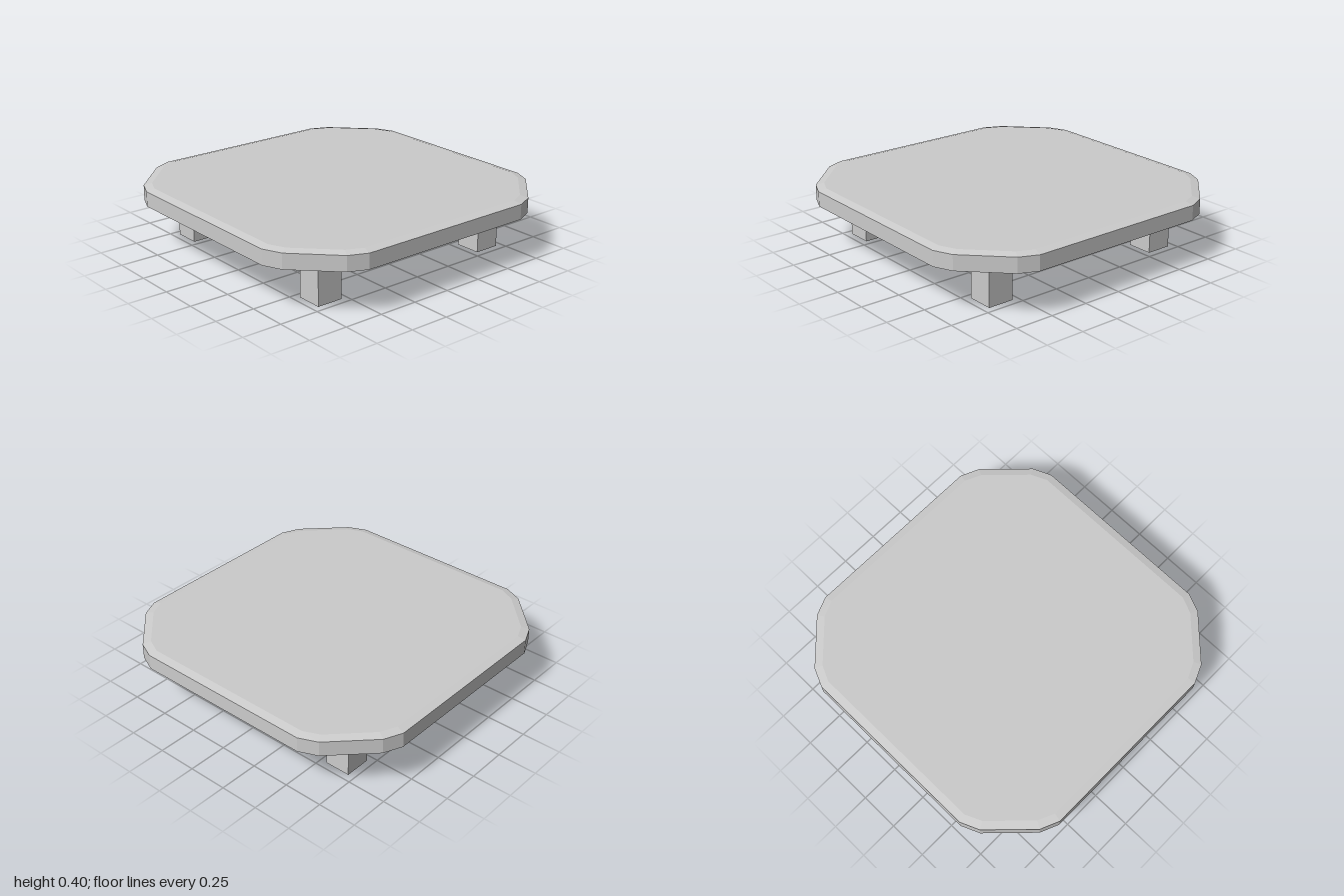
import * as THREE from 'three';

// Square outline with softly clipped corners, inset by a distance
function outline(inset) {
  const e = 1 - inset, a = 0.59 - inset * 0.2, b = 0.95 - inset * 0.9, c = 0.705 - inset * 0.5;
  const corner = [[e, a], [b, c], [c, b], [a, e]];
  const points = [];
  for (let q = 0; q < 4; q++) {
    for (const [x, z] of corner) {
      points.push([[x, z], [-z, x], [-x, -z], [z, -x]][q]);
    }
  }
  return points;
}

// Closed slab from stacked outlines, listed from bottom to top as [y, inset]
function slabGeometry(levels) {
  const pos = [];
  const rings = levels.map(([y, inset]) => outline(inset).map(([x, z]) => [x, y, z]));
  const n = rings[0].length, last = rings.length - 1;
  const tri = (...corners) => corners.forEach((p) => pos.push(...p));
  for (let i = 0; i < n; i++) {
    const j = (i + 1) % n;
    for (let k = 0; k < last; k++) {
      const lo = rings[k], hi = rings[k + 1];
      tri(lo[i], hi[i], hi[j]);
      tri(lo[i], hi[j], lo[j]);
    }
    tri([0, levels[0][0], 0], rings[0][i], rings[0][j]);
    tri([0, levels[last][0], 0], rings[last][j], rings[last][i]);
  }
  const geometry = new THREE.BufferGeometry();
  geometry.setAttribute('position', new THREE.Float32BufferAttribute(pos, 3));
  geometry.computeVertexNormals();
  return geometry;
}

export function createModel() {
  const model = new THREE.Group();
  model.name = 'lowTable';
  const material = new THREE.MeshStandardMaterial({ color: 0xcccccc, flatShading: true });

  // Top with a bevelled upper rim and a shallow sloping underside
  const top = new THREE.Mesh(
    slabGeometry([[0.255, 0.3], [0.28, 0.05], [0.29, 0], [0.386, 0], [0.398, 0.05]]),
    material
  );
  top.name = 'tableTop';
  model.add(top);

  // Four square legs, set in from the corners
  const legGeometry = new THREE.BoxGeometry(0.165, 0.27, 0.165);
  for (const x of [-1, 1]) {
    for (const z of [-1, 1]) {
      const leg = new THREE.Mesh(legGeometry, material);
      leg.name = (z > 0 ? 'front' : 'back') + (x > 0 ? 'Left' : 'Right') + 'Leg';
      leg.position.set(x * 0.624, 0.135, z * 0.624);
      model.add(leg);
    }
  }
  return model;
}
